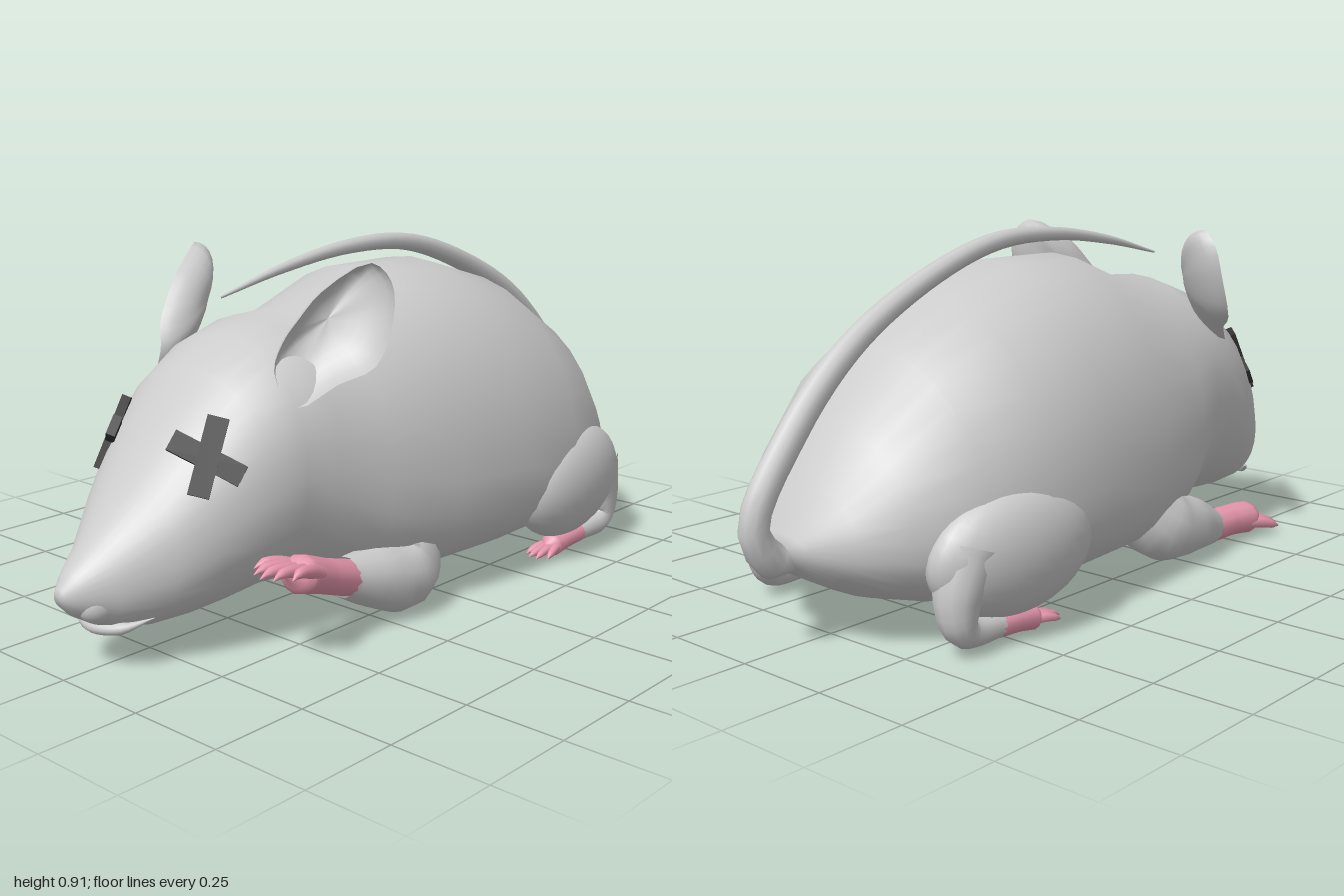
import * as THREE from 'three';
import { mergeVertices } from 'three/addons/utils/BufferGeometryUtils.js';

const grey = new THREE.MeshStandardMaterial({ color: 0xcccccc });
const greyThin = new THREE.MeshStandardMaterial({ color: 0xcccccc, side: THREE.DoubleSide });
const pink = new THREE.MeshStandardMaterial({ color: 0xe898ae });
const dark = new THREE.MeshStandardMaterial({ color: 0x333333 });

function mesh(name, geometry, material) {
  const m = new THREE.Mesh(geometry, material);
  m.name = name;
  return m;
}

// Skin over sections [z, bottom, top, half width, y of widest point, upper power, lower power];
// a power below 1 makes that half squarer
function loft(sections) {
  const N = 32, pos = [], idx = [];
  for (const [z, yb, yt, hw, ym, upper, lower] of sections) {
    for (let j = 0; j < N; j++) {
      const a = (j / N) * Math.PI * 2, c = Math.cos(a), s = Math.sin(a), p = s < 0 ? lower : upper;
      const h = Math.sign(s) * Math.abs(s) ** p;
      pos.push(hw * Math.sign(c) * Math.abs(c) ** p, ym + h * (s < 0 ? ym - yb : yt - ym), z);
    }
  }
  const last = (sections.length - 1) * N, front = sections.length * N;
  for (const s of [sections[0], sections.at(-1)]) pos.push(0, (s[1] + s[2]) / 2, s[0]);
  for (let j = 0; j < N; j++) {
    const k = (j + 1) % N;
    for (let i = 0; i < last; i += N) idx.push(i + j, i + N + j, i + k, i + k, i + N + j, i + N + k);
    idx.push(front, j, k, front + 1, last + k, last + j);
  }
  const g = new THREE.BufferGeometry();
  g.setAttribute('position', new THREE.Float32BufferAttribute(pos, 3));
  g.setIndex(idx);
  g.computeVertexNormals();
  return g;
}

// Tube through points with a radius at each point; squash flattens it in y
function sweep(points, radii, squash = 1, sides = 12, steps = 20) {
  const curve = new THREE.CatmullRomCurve3(points.map(p => new THREE.Vector3(...p)));
  const g = new THREE.TubeGeometry(curve, steps, 1, sides);
  const p = g.attributes.position, v = new THREE.Vector3();
  for (let i = 0; i < p.count; i++) {
    const u = Math.floor(i / (sides + 1)) / steps;
    const c = curve.getPointAt(u), t = curve.getUtoTmapping(u) * (radii.length - 1);
    const k = Math.min(Math.floor(t), radii.length - 2);
    const r = Math.max(THREE.MathUtils.lerp(radii[k], radii[k + 1], t - k), 0.001);
    v.fromBufferAttribute(p, i).sub(c).multiplyScalar(r);
    p.setXYZ(i, c.x + v.x, c.y + v.y * squash, c.z + v.z);
  }
  g.deleteAttribute('uv');
  g.deleteAttribute('normal');
  const out = mergeVertices(g, 1e-5);
  out.computeVertexNormals();
  return out;
}

function ellipsoid(name, at, size) {
  const m = mesh(name, new THREE.SphereGeometry(1, 28, 18), grey);
  m.position.set(...at);
  m.scale.set(...size);
  return m;
}

// Fan of arched toes from a palm point
function addToes(group, [x, y, z], count, spread, length, rise, radius) {
  for (let i = 0; i < count; i++) {
    const f = (i / (count - 1)) * 2 - 1, len = length * (1 - 0.25 * f * f);
    group.add(mesh('toe', sweep([
      [x + f * spread * 0.5, y, z],
      [x + f * spread * 0.8, y + rise * 0.6 + radius * 0.3, z + len * 0.45],
      [x + f * spread, y + rise, z + len * 0.8],
      [x + f * spread * 1.1, y + rise - radius * 0.6, z + len],
    ], [radius * 1.2, radius * 1.1, radius * 0.8, 0], 1, 8, 10), pink));
  }
}

// Cupped ear: rings shrink from the rim towards a centre pushed inwards and back
function ear(side) {
  const rim = new THREE.CatmullRomCurve3([
    [0.212, 0.73, 0.505], [0.198, 0.66, 0.52], [0.245, 0.58, 0.505], [0.3, 0.63, 0.415],
    [0.358, 0.67, 0.35], [0.368, 0.78, 0.3], [0.352, 0.86, 0.29], [0.305, 0.9, 0.305],
    [0.25, 0.84, 0.415], [0.228, 0.78, 0.47],
  ].map(p => new THREE.Vector3(...p)), true);
  const N = 30, R = 8, pos = [], idx = [], mid = new THREE.Vector3(0.28, 0.765, 0.4);
  for (let r = 0; r <= R; r++) {
    const angle = (r / R) * Math.PI / 2, t = Math.cos(angle), d = 0.09 * Math.sin(angle);
    for (let j = 0; j < N; j++) {
      const v = rim.getPoint(j / N).sub(mid).multiplyScalar(t).add(mid);
      pos.push(side * (v.x - 0.8 * d), v.y, v.z - 0.55 * d);
      const a = r * N + j, b = r * N + (j + 1) % N;
      if (r < R) idx.push(...(side > 0 ? [a, b, a + N, b, b + N, a + N] : [a, a + N, b, b, a + N, b + N]));
    }
  }
  const g = new THREE.BufferGeometry();
  g.setAttribute('position', new THREE.Float32BufferAttribute(pos, 3));
  g.setIndex(idx);
  g.computeVertexNormals();
  return mesh('ear', g, greyThin);
}

// Crossed bars lying on the side of the head
function crossEye(side) {
  const eye = new THREE.Group();
  eye.name = 'crossEye';
  const bars = [[[0.16, 0.575, 0.66], [0.176, 0.41, 0.742]], [[0.1, 0.53, 0.75], [0.23, 0.448, 0.655]]]
    .map(b => b.map(([x, y, z]) => new THREE.Vector3(side * x, y, z)));
  const dirs = bars.map(([a, b]) => b.clone().sub(a).normalize());
  const n = dirs[0].clone().cross(dirs[1]).normalize();
  bars.forEach(([a, b], i) => {
    const bar = mesh('eyeBar', new THREE.BoxGeometry(a.distanceTo(b), 0.05, 0.022), dark);
    bar.applyMatrix4(new THREE.Matrix4().makeBasis(dirs[i], n.clone().cross(dirs[i]), n));
    bar.position.copy(a).add(b).multiplyScalar(0.5);
    eye.add(bar);
  });
  return eye;
}

export function createModel() {
  const model = new THREE.Group();
  model.name = 'rodent';

  // Head and body in one skin, nose to rump
  model.add(mesh('headAndBody', loft([
    [1.0, 0.18, 0.22, 0.02, 0.2, 1, 1], [0.97, 0.15, 0.255, 0.05, 0.2, 1, 1],
    [0.9, 0.105, 0.32, 0.095, 0.21, 0.95, 0.95], [0.8, 0.085, 0.43, 0.17, 0.26, 0.9, 0.95],
    [0.7, 0.085, 0.55, 0.225, 0.33, 0.88, 0.95], [0.6, 0.09, 0.655, 0.265, 0.38, 0.88, 1],
    [0.5, 0.1, 0.72, 0.285, 0.42, 0.9, 1], [0.4, 0.1, 0.755, 0.3, 0.42, 0.95, 0.95],
    [0.27, 0.06, 0.758, 0.345, 0.37, 0.97, 0.85], [0.05, 0.04, 0.84, 0.388, 0.33, 0.97, 0.8],
    [-0.2, 0.04, 0.84, 0.413, 0.32, 0.97, 0.8], [-0.42, 0.05, 0.775, 0.408, 0.3, 0.97, 0.8],
    [-0.6, 0.07, 0.665, 0.362, 0.28, 0.97, 0.8], [-0.74, 0.11, 0.51, 0.285, 0.27, 1, 0.8],
    [-0.83, 0.16, 0.38, 0.2, 0.26, 1, 0.85], [-0.89, 0.21, 0.28, 0.085, 0.25, 1, 1],
  ]), grey));

  // Mouth
  model.add(mesh('lowerLip', sweep([[-0.118, 0.135, 0.83], [-0.07, 0.113, 0.885], [0, 0.108, 0.91],
    [0.07, 0.113, 0.885], [0.118, 0.135, 0.83]], [0, 0.014, 0.016, 0.014, 0]), grey));

  // Tail curling up over the back
  model.add(mesh('tail', sweep([[0, 0.25, -0.83], [0, 0.212, -0.895], [0, 0.3, -0.962], [0, 0.5, -0.845],
    [0, 0.672, -0.67], [0, 0.795, -0.45], [0, 0.88, -0.19], [0, 0.89, 0.04], [0, 0.86, 0.28], [0, 0.81, 0.5]],
  [0.04, 0.045, 0.036, 0.036, 0.033, 0.028, 0.024, 0.019, 0.013, 0.003], 1, 10, 40), grey));

  for (const s of [1, -1]) {
    model.add(ear(s), crossEye(s));
    model.add(ellipsoid('upperLip', [s * 0.03, 0.172, 0.912], [0.043, 0.046, 0.058]));

    // Hind leg: haunch, shank, foot
    const hind = new THREE.Group();
    hind.name = 'hindLeg';
    const haunch = ellipsoid('haunch', [s * 0.335, 0.215, -0.49], [0.1, 0.158, 0.238]);
    haunch.rotation.set(0, s * 0.12, s * -0.12);
    hind.add(haunch);
    hind.add(mesh('shank', sweep([[s * 0.325, 0.25, -0.62], [s * 0.33, 0.13, -0.665], [s * 0.337, 0.068, -0.655],
      [s * 0.34, 0.05, -0.54]], [0.08, 0.055, 0.04, 0.029]), grey));
    hind.add(mesh('hindFoot', sweep([[s * 0.34, 0.05, -0.55], [s * 0.338, 0.046, -0.48], [s * 0.335, 0.038, -0.42],
      [s * 0.335, 0.036, -0.39]], [0.029, 0.03, 0.033, 0]), pink));
    addToes(hind, [s * 0.335, 0.036, -0.43], 4, 0.032, 0.1, -0.008, 0.011);
    model.add(hind);
  }

  // Forelegs: one raised, one resting
  const raised = new THREE.Group();
  raised.name = 'raisedForeleg';
  raised.add(mesh('arm', sweep([[0.21, 0.2, 0.08], [0.27, 0.108, 0.16], [0.285, 0.125, 0.28], [0.29, 0.153, 0.39]],
    [0.09, 0.103, 0.08, 0.05]), grey));
  raised.add(mesh('paw', sweep([[0.29, 0.15, 0.38], [0.305, 0.185, 0.48], [0.318, 0.217, 0.57], [0.32, 0.23, 0.62]],
    [0.051, 0.048, 0.052, 0], 0.88), pink));
  addToes(raised, [0.32, 0.215, 0.53], 5, 0.056, 0.165, 0.032, 0.015);

  const resting = new THREE.Group();
  resting.name = 'restingForeleg';
  resting.add(mesh('arm', sweep([[-0.22, 0.22, 0.08], [-0.275, 0.125, 0.17], [-0.285, 0.1, 0.28], [-0.285, 0.07, 0.39]],
    [0.09, 0.1, 0.08, 0.05]), grey));
  resting.add(mesh('paw', sweep([[-0.285, 0.07, 0.38], [-0.285, 0.067, 0.48], [-0.285, 0.058, 0.57],
    [-0.285, 0.045, 0.62]], [0.051, 0.048, 0.052, 0], 0.88), pink));
  addToes(resting, [-0.285, 0.056, 0.53], 5, 0.056, 0.17, -0.022, 0.015);
  model.add(raised, resting);

  return model;
}
